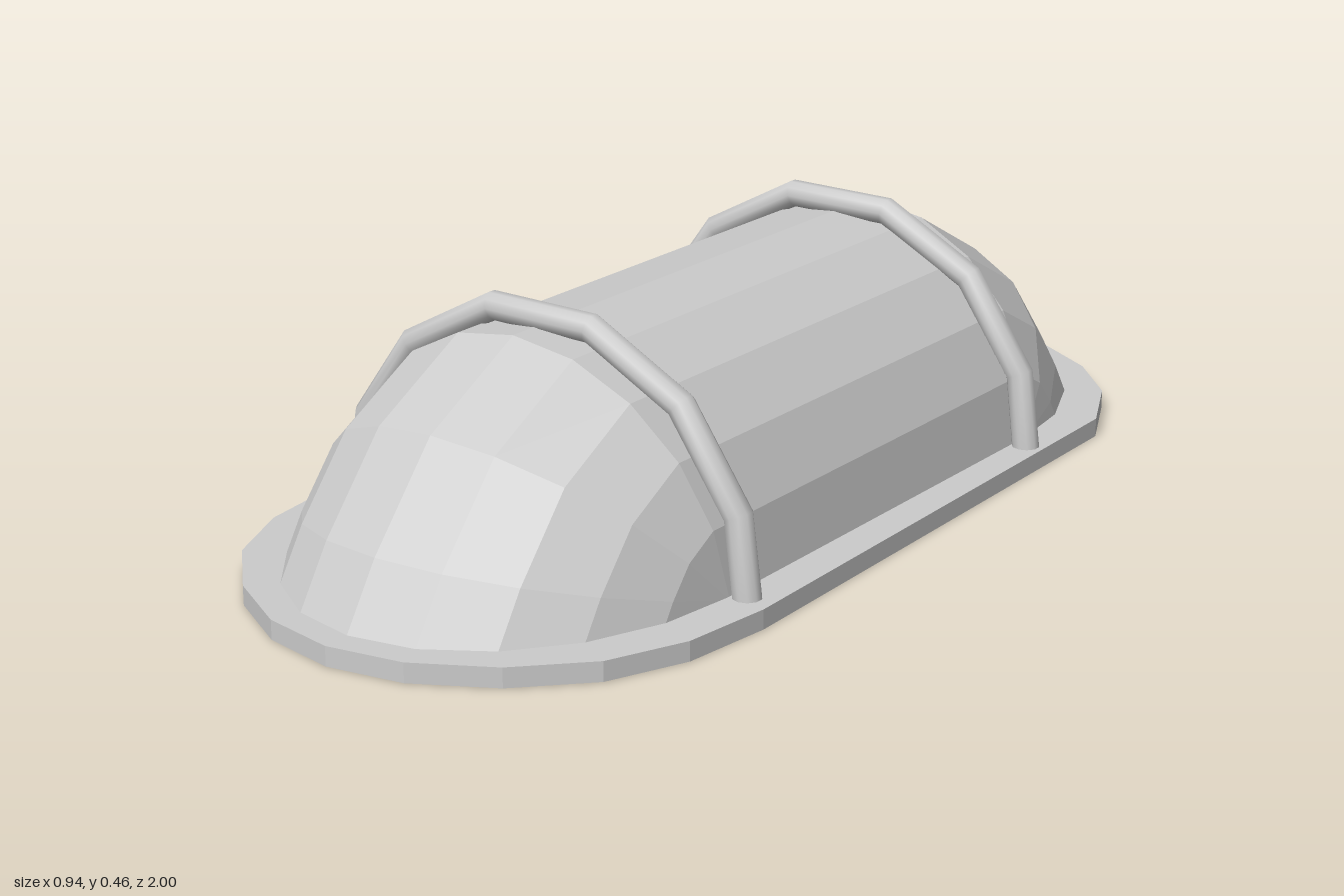
import * as THREE from 'three';

const barMaterial = new THREE.MeshStandardMaterial({ color: 0xcccccc });
const panelMaterial = new THREE.MeshStandardMaterial({
  color: 0xcccccc, flatShading: true, side: THREE.DoubleSide,
});
const plateY = 0.035;

// Polyline curve with mitred tangents, for bent bars
class Polyline extends THREE.Curve {
  constructor(points) {
    super();
    this.points = points;
  }
  getPoint(t, target = new THREE.Vector3()) {
    const n = this.points.length - 1;
    const i = Math.min(Math.floor(t * n), n - 1);
    return target.lerpVectors(this.points[i], this.points[i + 1], t * n - i);
  }
  getUtoTmapping(u) {
    return u;
  }
}

// Base outline, a little wider at the front: right-hand half, then its mirror
const halfOutline = [
  [0, 1], [0.14, 0.975], [0.275, 0.9], [0.385, 0.79], [0.447, 0.65], [0.468, 0.48],
  [0.45, -0.64], [0.38, -0.79], [0.275, -0.9], [0.14, -0.98], [0, -1],
];
const outline = [
  ...halfOutline,
  ...halfOutline.slice(1, -1).reverse().map(([x, z]) => [-x, z]),
];

// Geometry from points and triangle indices
function meshGeometry(positions, index) {
  const geometry = new THREE.BufferGeometry();
  geometry.setAttribute('position', new THREE.Float32BufferAttribute(positions, 3));
  geometry.setIndex(index);
  geometry.computeVertexNormals();
  return geometry;
}

// Half-elliptical vault whose two ends curve down to the base plate
function shellGeometry() {
  const columns = 10, halfWidth = 0.394, bottom = 0.03, height = 0.39, straight = 0.47;
  const endRows = [[1, 0.06], [0.71, 0.27], [0.29, 0.41], [0, 0.483]]; // height factor, reach
  const rows = [
    ...[...endRows].reverse().map(([f, reach]) => [f, -1, reach]),
    ...endRows.map(([f, reach]) => [f, 1, reach]),
  ];
  const positions = [], index = [];
  rows.forEach(([f, side, reach], r) => {
    for (let c = 0; c <= columns; c++) {
      const a = (c / columns) * Math.PI, s = Math.sin(a);
      positions.push(
        halfWidth * Math.cos(a), bottom + height * s * f, side * (straight + reach * s));
      if (r < rows.length - 1 && c < columns) {
        const p = r * (columns + 1) + c, q = p + columns + 1;
        index.push(p, p + 1, q + 1, p, q + 1, q);
      }
    }
  });
  return meshGeometry(positions, index);
}

// Flat plate under the shell
function plateGeometry() {
  const shape = new THREE.Shape(outline.map(([x, z]) => new THREE.Vector2(x, z)));
  return new THREE.ShapeGeometry(shape).rotateX(Math.PI / 2).translate(0, plateY, 0);
}

// Thin lip hanging from the edge of the plate, open below
function lipGeometry() {
  const positions = [], index = [];
  outline.forEach(([x, z], i) => {
    positions.push(x, 0, z, x, plateY, z);
    const p = 2 * i, q = 2 * ((i + 1) % outline.length);
    index.push(p, q, q + 1, p, q + 1, p + 1);
  });
  return meshGeometry(positions, index);
}

// Round bar bent over the shell
function barGeometry() {
  const path = [
    [-0.422, 0.003], [-0.394, 0.184], [-0.283, 0.336], [-0.102, 0.434],
    [0.104, 0.432], [0.286, 0.336], [0.4, 0.172], [0.422, 0.003],
  ].map(([x, y]) => new THREE.Vector3(x, y, 0));
  return new THREE.TubeGeometry(new Polyline(path), path.length - 1, 0.0255, 10, false);
}

export function createModel() {
  const model = new THREE.Group();
  const add = (name, geometry, material) => {
    const mesh = new THREE.Mesh(geometry, material);
    mesh.name = name;
    model.add(mesh);
    return mesh;
  };
  add('shell', shellGeometry(), panelMaterial);
  add('basePlate', plateGeometry(), panelMaterial);
  add('baseLip', lipGeometry(), panelMaterial);
  const bar = barGeometry();
  add('frontBar', bar, barMaterial).position.z = 0.455;
  add('backBar', bar, barMaterial).position.z = -0.432;
  return model;
}
